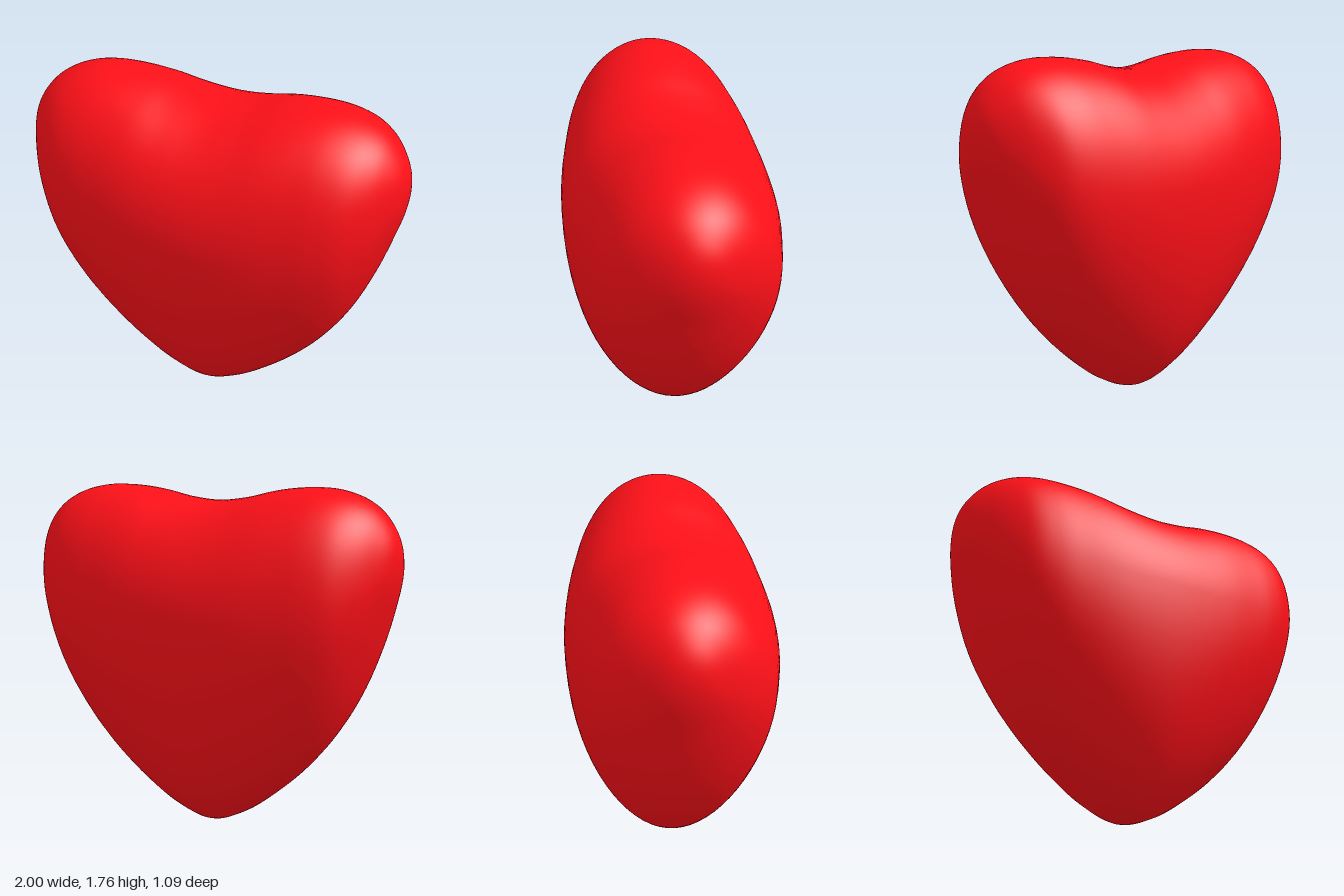
import * as THREE from 'three';
import { mergeVertices } from 'three/addons/utils/BufferGeometryUtils.js';

// Section values from the middle (0 degrees) to the side tip (90 degrees), x = sin(angle)
const top = [1.685, 1.703, 1.74, 1.758, 1.755, 1.725, 1.67, 1.59, 1.5, 1.4];
const bottom = [0, 0.058, 0.172, 0.31, 0.475, 0.67, 0.895, 1.11, 1.265, 1.4];
const depth = [0.545, 0.538, 0.52, 0.49, 0.455, 0.4, 0.305, 0.195, 0.098, 0];
const widest = [1.1, 1.1, 1.11, 1.13, 1.16, 1.2, 1.26, 1.32, 1.37, 1.4];

// Smooth interpolation, mirrored at the middle and carried through the tip
function sample(values, t) {
  const last = values.length - 1;
  const at = (i) => (i < 0 ? values[-i] : i > last ? 2 * values[last] - values[2 * last - i] : values[i]);
  const i = Math.min(Math.floor(t), last - 1);
  const f = t - i;
  const [a, b, c, d] = [at(i - 1), at(i), at(i + 1), at(i + 2)];
  return b + 0.5 * f * (c - a + f * (2 * a - 5 * b + 4 * c - d + f * (3 * (b - c) + d - a)));
}

// Egg-shaped sections lofted from side to side
function heartGeometry(slices = 108, sides = 72) {
  const positions = [];
  const indices = [];
  for (let i = 0; i <= slices; i++) {
    const u = (2 * i) / slices - 1;
    const t = Math.abs(u) * 9;
    const x = Math.sin((u * Math.PI) / 2);
    const yMid = sample(widest, t);
    const up = sample(top, t) - yMid;
    const down = yMid - sample(bottom, t);
    const d = sample(depth, t);
    for (let j = 0; j < sides; j++) {
      const a = (j / sides) * Math.PI * 2;
      const s = Math.sin(a);
      // fuller above the widest line, leaner below it
      const fullness = 1 + (s > 0 ? 0.06 : -0.1) * s * s;
      positions.push(x, yMid + s * (s > 0 ? up : down), d * Math.cos(a) * fullness);
    }
  }
  for (let i = 0; i < slices; i++) {
    for (let j = 0; j < sides; j++) {
      const k = (j + 1) % sides;
      const a = i * sides + j, b = a + sides;
      const c = i * sides + k, e = c + sides;
      // single triangles at the two side tips
      if (i < slices - 1) indices.push(a, b, e);
      else indices.push(a, b, c);
      if (i > 0 && i < slices - 1) indices.push(a, e, c);
    }
  }
  const geometry = new THREE.BufferGeometry();
  geometry.setAttribute('position', new THREE.Float32BufferAttribute(positions, 3));
  geometry.setIndex(indices);
  const merged = mergeVertices(geometry, 1e-5);
  merged.computeVertexNormals();
  return merged;
}

export function createModel() {
  const group = new THREE.Group();
  group.name = 'heart';
  const body = new THREE.Mesh(heartGeometry(), new THREE.MeshStandardMaterial({ color: 0xff1018 }));
  body.name = 'heartBody';
  group.add(body);
  return group;
}
